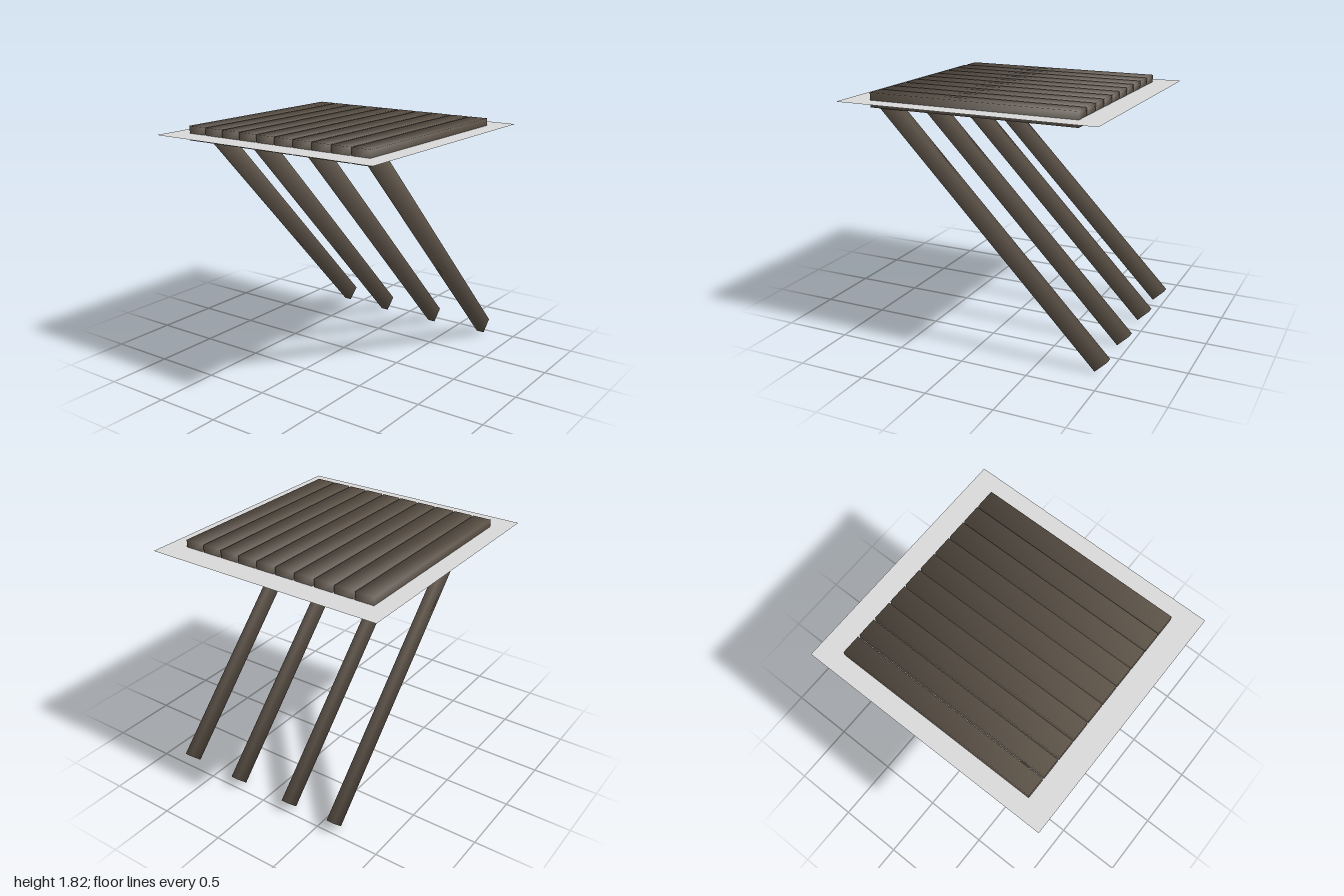
import * as THREE from 'three';

// Box with shared, averaged corner normals (smooth shaded timber)
function smoothBox(w, h, d) {
  const geo = new THREE.BoxGeometry(w, h, d);
  const p = geo.attributes.position;
  const n = geo.attributes.normal;
  const v = new THREE.Vector3();
  for (let i = 0; i < p.count; i++) {
    v.set(Math.sign(p.getX(i)), Math.sign(p.getY(i)), Math.sign(p.getZ(i))).normalize();
    n.setXYZ(i, v.x, v.y, v.z);
  }
  return geo;
}

export function createModel() {
  const group = new THREE.Group();
  const wood = new THREE.MeshStandardMaterial({ color: 0x5e5449 });
  wood.name = 'dark wood';
  const grey = new THREE.MeshStandardMaterial({ color: 0xd9d9d9, side: THREE.DoubleSide });
  grey.name = 'light grey';

  const add = (name, geo, mat, x, y, z) => {
    const mesh = new THREE.Mesh(geo, mat);
    mesh.name = name;
    mesh.position.set(x, y, z);
    group.add(mesh);
    return mesh;
  };

  // Roof slats running front to back
  const slatGeo = smoothBox(0.145, 0.107, 1.58);
  for (let i = 0; i < 10; i++) {
    add('slat' + (i + 1), slatGeo, wood, -0.723 + i * 0.16, 1.767, 0.02);
  }

  // Thin sheet through the middle of the slats
  add('sheet', new THREE.PlaneGeometry(1.87, 1.955).rotateX(-Math.PI / 2), grey, 0, 1.765, 0.022);

  // Slanted braces from the rear foot to the front of the roof
  const rise = 1.698, run = 1.655;
  const braceGeo = smoothBox(0.061, Math.hypot(rise, run), 0.126);
  [[-0.616, 0.012], [-0.212, 0], [0.27, 0], [0.742, 0.012]].forEach(([x, lift], i) => {
    const brace = add('brace' + (i + 1), braceGeo, wood, x, 0.894 + lift, -0.132);
    brace.rotation.x = Math.atan2(run, rise);
  });

  return group;
}
